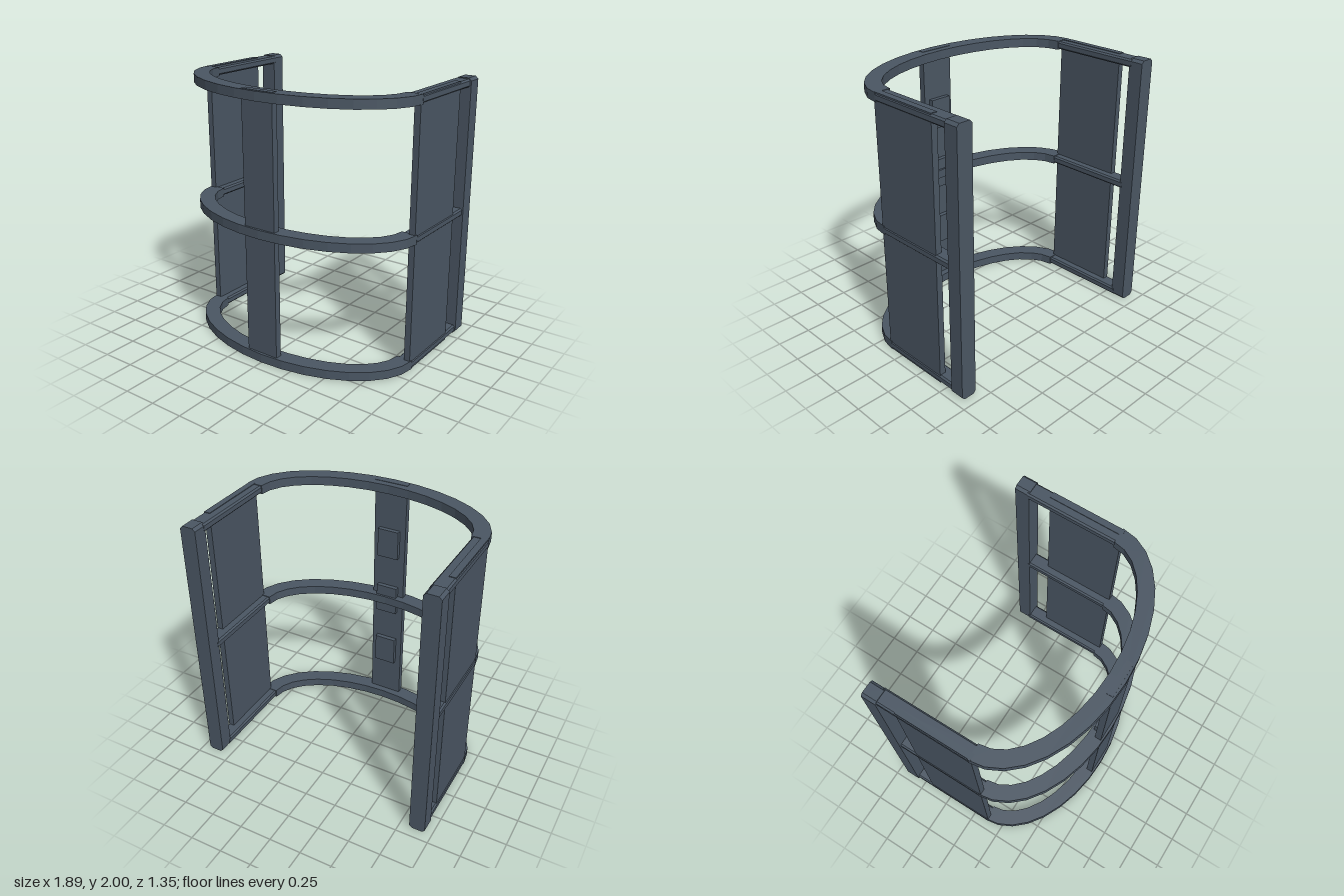
import * as THREE from 'three';

const steel = new THREE.MeshStandardMaterial({ color: 0x4a5663, flatShading: true });
steel.name = 'slate steel';

function add(group, name, geometry) {
  const mesh = new THREE.Mesh(geometry, steel);
  mesh.name = name;
  group.add(mesh);
  return mesh;
}

// Box given by its limits
function box(x0, x1, y0, y1, z0, z1) {
  return new THREE.BoxGeometry(x1 - x0, y1 - y0, z1 - z0)
    .translate((x0 + x1) / 2, (y0 + y1) / 2, (z0 + z1) / 2);
}

// Bar running along z with its four long edges chamfered
function chamferedBar(x0, x1, y0, y1, z0, z1, c) {
  const s = new THREE.Shape([
    [x0 + c, y0], [x1 - c, y0], [x1, y0 + c], [x1, y1 - c],
    [x1 - c, y1], [x0 + c, y1], [x0, y1 - c], [x0, y0 + c],
  ].map(([x, y]) => new THREE.Vector2(x, y)));
  return new THREE.ExtrudeGeometry(s, { depth: z1 - z0, bevelEnabled: false }).translate(0, 0, z0);
}

// Half-elliptical band between an outer and an inner arc, facing +z
function hoopGeometry(y0, y1) {
  const segments = 16, zStart = 0.11, outer = [], inner = [];
  for (let i = 0; i <= segments; i++) {
    const t = Math.PI * i / segments;
    outer.push(new THREE.Vector2(0.935 * Math.cos(t), -zStart - 0.56 * Math.sin(t)));
    inner.push(new THREE.Vector2(0.815 * Math.cos(t), -zStart - 0.44 * Math.sin(t)));
  }
  const shape = new THREE.Shape([...outer, ...inner.reverse()]);
  return new THREE.ExtrudeGeometry(shape, { depth: y1 - y0, bevelEnabled: false })
    .rotateX(-Math.PI / 2).translate(0, y0, 0);
}

export function createModel() {
  const model = new THREE.Group();
  model.name = 'ladderCage';

  // Three hoops, each with a straight rail on either side
  const levels = [['bottom', 0.003, 0.07], ['middle', 0.968, 1.035], ['top', 1.93, 1.997]];
  for (const [level, y0, y1] of levels) {
    add(model, level + 'Hoop', hoopGeometry(y0, y1));
    for (const [side, s] of [['left', 1], ['right', -1]]) {
      const [x0, x1] = s > 0 ? [0.82, 0.935] : [-0.935, -0.82];
      add(model, `${level}${side}Rail`,
        chamferedBar(x0, x1, y0 + 0.004, y1 - 0.004, -0.58, 0.115, 0.012));
    }
  }

  // Side panels and rear posts
  for (const [side, s] of [['left', 1], ['right', -1]]) {
    const span = (a, b) => (s > 0 ? [a, b] : [-b, -a]);
    add(model, side + 'Panel', box(...span(0.882, 0.929), 0.002, 1.998, -0.43, 0.13));
    add(model, side + 'Post', chamferedBar(...span(0.823, 0.945), 0, 2, -0.675, -0.565, 0.02));
  }

  // Front upright with three plates on its inner face
  add(model, 'frontUpright', box(-0.13, 0.13, 0, 2, 0.6, 0.65));
  for (const y of [0.503, 1.003, 1.503]) {
    add(model, 'innerPlate', box(-0.085, 0.085, y - 0.117, y + 0.117, 0.565, 0.602));
  }
  return model;
}
